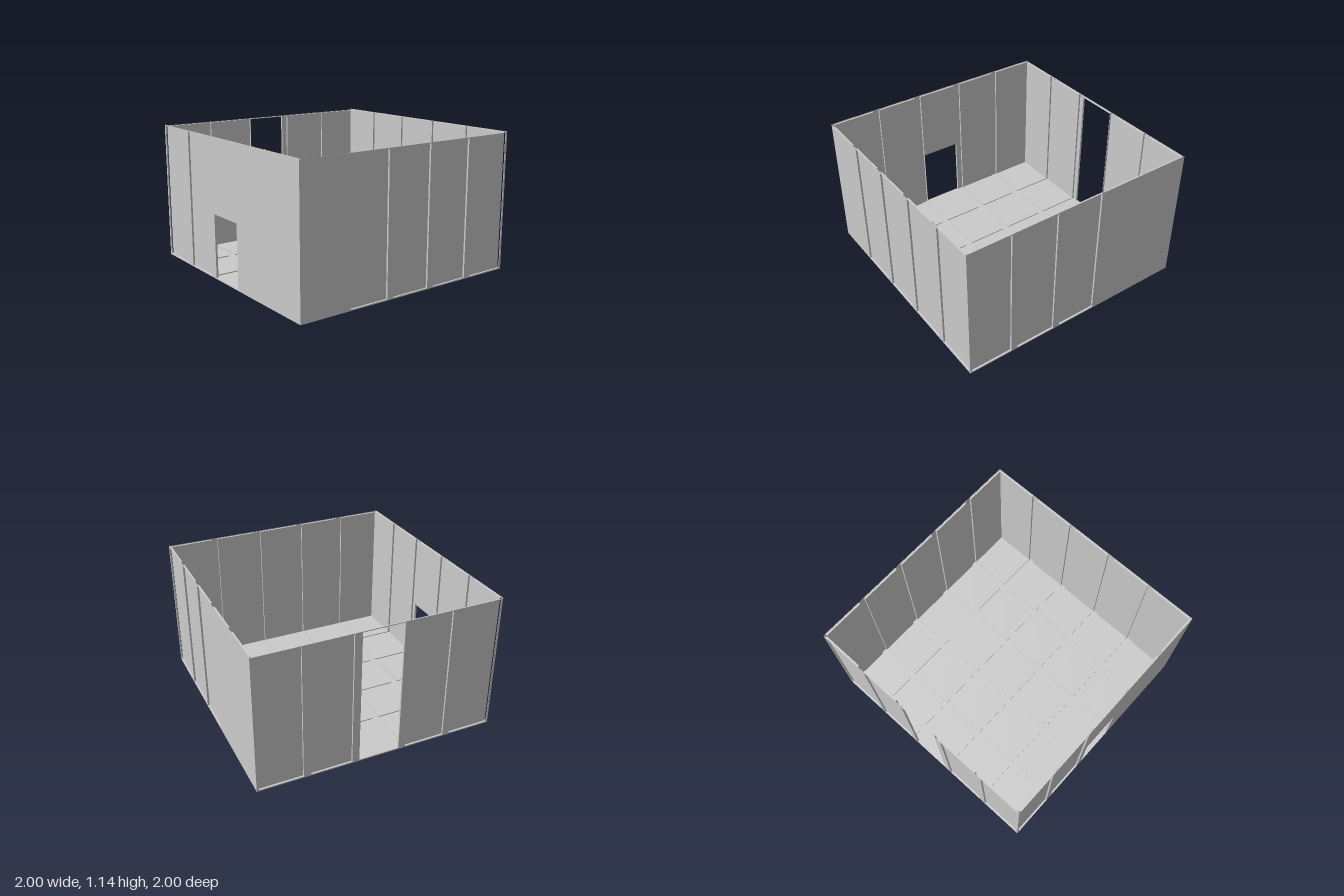
import * as THREE from 'three';

const GREY = new THREE.MeshStandardMaterial({ color: 0xcccccc, flatShading: true, side: THREE.DoubleSide });
const T = 0.002;          // sheet thickness
const INNER = 0.983;      // distance of the recessed panels from the centre
const LIP = 0.01;         // height of the floor step and top rim
// spans of the five panels; the gaps between them are the ribs
const PANELS = [[-INNER, -0.63], [-0.57, -0.23], [-0.17, 0.17], [0.23, 0.57], [0.63, INNER]];
const RIBS = [[-1, -INNER], [-0.63, -0.57], [-0.23, -0.17], [0.17, 0.23], [0.57, 0.63], [INNER, 1]];

// box given by its limits on each axis
function slab(parent, name, [x0, x1], [y0, y1], [z0, z1]) {
  const mesh = new THREE.Mesh(new THREE.BoxGeometry(x1 - x0, y1 - y0, z1 - z0), GREY);
  mesh.position.set((x0 + x1) / 2, (y0 + y1) / 2, (z0 + z1) / 2);
  mesh.name = name;
  parent.add(mesh);
}

// one folded wall facing local +z; opening is the height of a gap in the middle panel
function makeWall({ name, angle, height, opening = 0, cover }) {
  const wall = new THREE.Group();
  wall.name = name;
  wall.rotation.y = angle;
  const top = height - LIP / 2;

  PANELS.forEach(([a, b], i) => {
    const y0 = i === 2 && opening ? opening : LIP;
    if (y0 < top) slab(wall, 'panel', [a, b], [y0, top], [INNER, INNER + T]);
    // returns joining the panel to the ribs
    if (i > 0) slab(wall, 'panelReturn', [a - T, a], [0, height], [INNER, 1]);
    if (i < 4) slab(wall, 'panelReturn', [b, b + T], [0, height], [INNER, 1]);
    // ledges along the bottom and top of the panel
    slab(wall, 'baseLedge', [a, b], [LIP - T, LIP], [INNER, 1]);
    slab(wall, 'baseLip', [a, b], [0, LIP], [1 - T, 1]);
    slab(wall, 'topLedge', [a, b], [top - T, top], [INNER, 1]);
    slab(wall, 'topLip', [a, b], [top - T, height], [1 - T, 1]);
  });
  for (const rib of RIBS) slab(wall, 'rib', rib, [0, height], [1 - T, 1]);

  // flat outer sheet hiding some of the folds
  if (cover) {
    const [a, b] = cover;
    if (opening && a < -0.17) {
      slab(wall, 'outerSheet', [a, -0.17], [0, height], [1 - T, 1]);
      slab(wall, 'outerSheet', [-0.17, 0.17], [opening, height], [1 - T, 1]);
      slab(wall, 'outerSheet', [0.17, b], [0, height], [1 - T, 1]);
      slab(wall, 'doorLintel', [-0.17, 0.17], [opening, opening + T], [INNER, 1]);
    } else {
      slab(wall, 'outerSheet', [a, b], [0, height], [1 - T, 1]);
    }
  }
  return wall;
}

// raised tiles separated by channels, with flat sheets under part of each row
function makeFloor() {
  const floor = new THREE.Group();
  floor.name = 'floor';
  for (const [z0, z1] of PANELS) {
    for (const [x0, x1] of PANELS) {
      slab(floor, 'floorTile', [x0, x1], [LIP - T, LIP], [z0, z1]);
      for (const x of [x0, x1]) slab(floor, 'tileSide', [x - T / 2, x + T / 2], [0, LIP], [z0, z1]);
      for (const z of [z0, z1]) slab(floor, 'tileSide', [x0, x1], [0, LIP], [z - T / 2, z + T / 2]);
    }
  }
  for (const [a, b] of RIBS) {
    slab(floor, 'channel', [a, b], [0, T], [-1, 1]);
    for (const [x0, x1] of PANELS) slab(floor, 'channel', [x0, x1], [0, T], [a, b]);
  }
  const sheetEnds = [-0.23, 0.23, 0.17, -0.17, -0.23];
  PANELS.forEach((row, i) => slab(floor, 'underSheet', [-1, sheetEnds[i]], [0, T], row));
  return floor;
}

export function createModel() {
  const room = new THREE.Group();
  room.name = 'room';
  room.add(
    makeFloor(),
    makeWall({ name: 'frontWall', angle: 0, height: 1.14, opening: 0.53, cover: [-0.23, 1] }),
    makeWall({ name: 'backWall', angle: Math.PI, height: 1.14, cover: [0.17, 1] }),
    makeWall({ name: 'leftWall', angle: Math.PI / 2, height: 1.132, cover: [-1, -0.57] }),
    makeWall({ name: 'rightWall', angle: -Math.PI / 2, height: 1.132, opening: 1.14 }),
  );
  return room;
}
